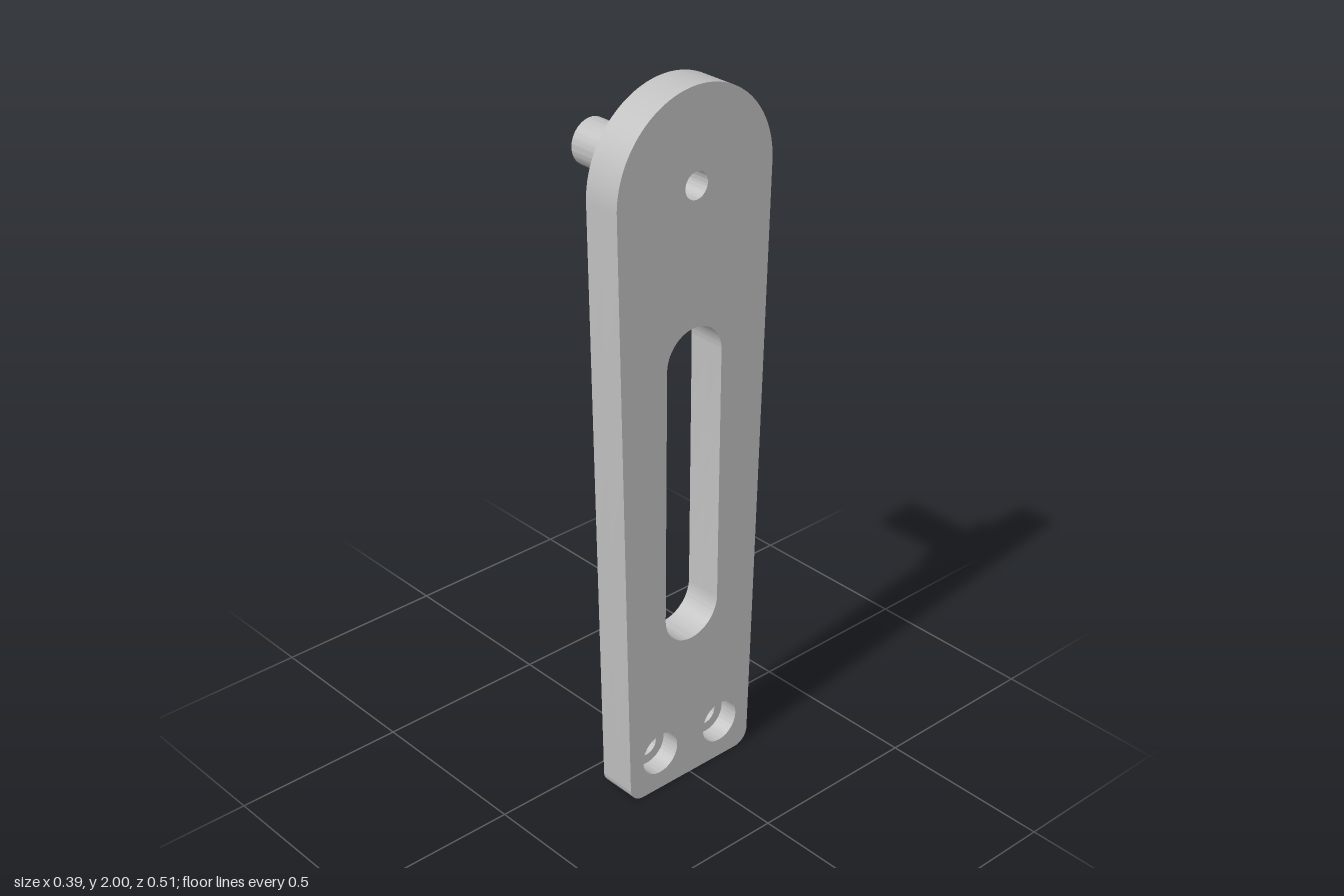
import * as THREE from 'three';
import { toCreasedNormals } from 'three/addons/utils/BufferGeometryUtils.js';

const INNER = 0.083, OUTER = 0.193; // plate faces along x
const PIVOT_Y = 1.744, BORE = 0.037;

function circleHole(x, y, r) {
  return new THREE.Path().absarc(x, y, r, 0, Math.PI * 2, true);
}

// Tapered arm outline with its slot, pivot bore and two screw holes
function armShape(screwRadius) {
  const R = 0.256, foot = 0.217, c = 0.045, taper = 0.0235;
  const s = new THREE.Shape();
  s.moveTo(-foot + c, 0);
  s.lineTo(foot - c, 0);
  s.absarc(foot - c, c, c, -Math.PI / 2, -taper, false);
  s.absarc(0, PIVOT_Y, R, -taper, Math.PI + taper, false);
  s.absarc(-foot + c, c, c, Math.PI + taper, Math.PI * 1.5, false);

  const w = 0.093, slot = new THREE.Path();
  slot.absarc(0, 1.271, w, Math.PI, 0, true);
  slot.absarc(0, 0.535, w, 0, -Math.PI, true);
  slot.closePath();

  s.holes.push(slot, circleHole(0, PIVOT_Y, BORE));
  for (const side of [-1, 1]) s.holes.push(circleHole(side * 0.11, 0.115, screwRadius));
  return s;
}

function slab(name, screwRadius, x0, x1, material) {
  const g = new THREE.ExtrudeGeometry(armShape(screwRadius), {
    depth: x1 - x0, bevelEnabled: false, curveSegments: 32,
  });
  g.rotateY(Math.PI / 2);
  g.translate(x0, 0, 0);
  const mesh = new THREE.Mesh(toCreasedNormals(g, 0.5), material);
  mesh.name = name;
  return mesh;
}

export function createModel() {
  const metal = new THREE.MeshStandardMaterial({ color: 0xc0c0c0 });
  metal.name = 'greyMetal';
  const model = new THREE.Group();
  model.name = 'pivotArm';

  // Plate in two layers: the outer one carries the wide counterbores
  const step = 0.138;
  model.add(slab('armInnerLayer', 0.034, INNER, step, metal));
  model.add(slab('armOuterLayer', 0.062, step, OUTER, metal));

  // Hollow pin with a collar, turned about the x axis
  const profile = [
    [BORE, INNER], [BORE, -0.195], [0.064, -0.195],
    [0.064, 0.043], [0.128, 0.043], [0.128, INNER],
  ].map(([r, x]) => new THREE.Vector2(r, x));
  // Profile runs down the bore, then up the outside
  const pinGeometry = new THREE.LatheGeometry(profile, 64);
  pinGeometry.rotateZ(-Math.PI / 2);
  const pin = new THREE.Mesh(toCreasedNormals(pinGeometry, 0.5), metal);
  pin.name = 'collaredPin';
  pin.position.y = PIVOT_Y;
  model.add(pin);

  return model;
}
